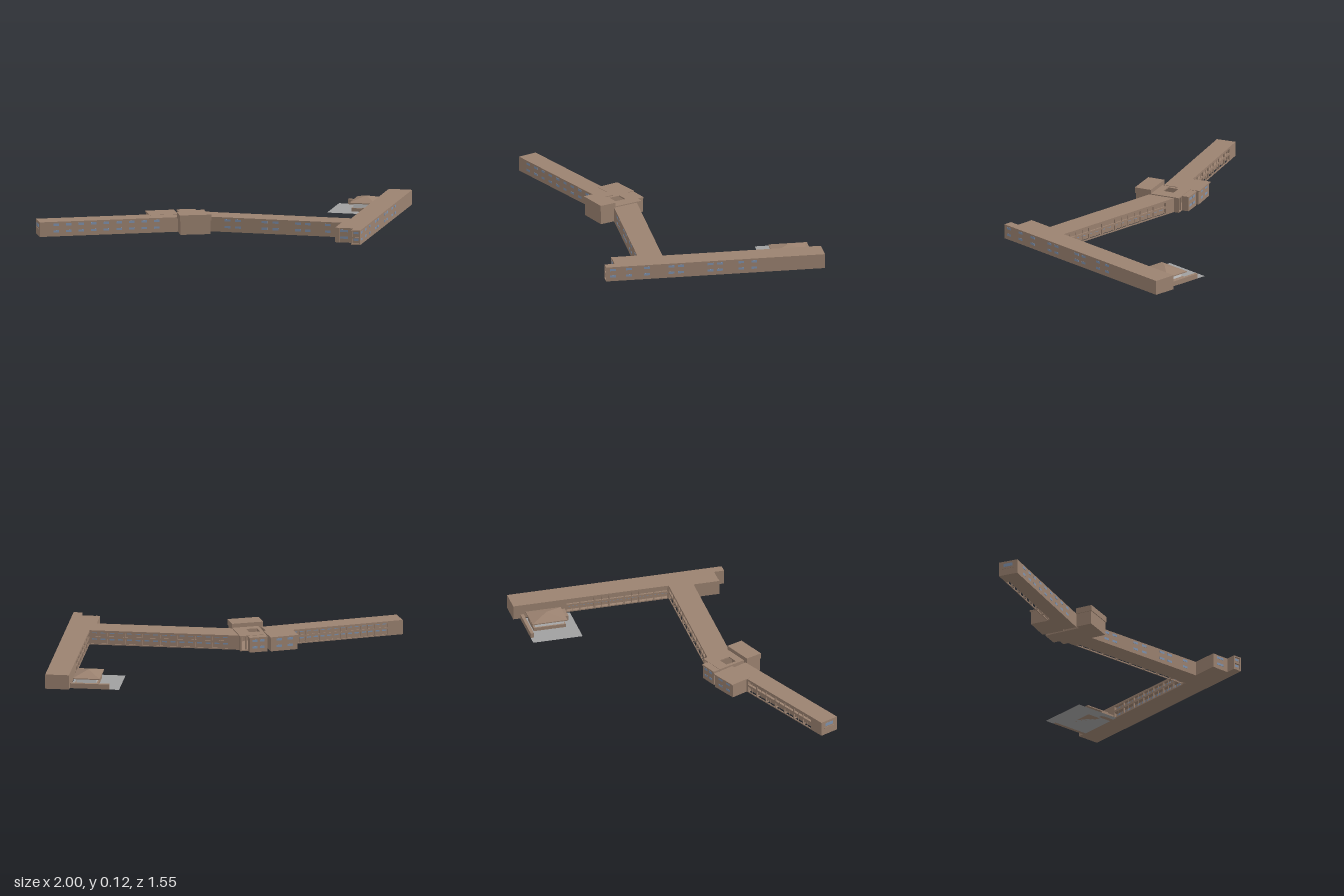
import * as THREE from 'three';

const brown = new THREE.MeshStandardMaterial({ color: 0x9b8270 });
const blue = new THREE.MeshStandardMaterial({ color: 0x7f92ad });
const pale = new THREE.MeshStandardMaterial({ color: 0xcccccc });
const paving = new THREE.MeshStandardMaterial({ color: 0xa0a0a0, side: THREE.DoubleSide });

const BASE = 0.005, EAVE = 0.088, TOP = 0.095;

// Box given by its extents on each axis
function block(parent, name, x0, x1, y0, y1, z0, z1, material = brown) {
  const mesh = new THREE.Mesh(new THREE.BoxGeometry(x1 - x0, y1 - y0, z1 - z0), material);
  mesh.position.set((x0 + x1) / 2, (y0 + y1) / 2, (z0 + z1) / 2);
  mesh.name = name;
  parent.add(mesh);
  return mesh;
}

function frame(parent, name, x, z, degrees) {
  const g = new THREE.Group();
  g.name = name;
  g.position.set(x, 0, z);
  g.rotation.y = THREE.MathUtils.degToRad(degrees);
  parent.add(g);
  return g;
}

// Two rows of windows in the wall at z
function windows(parent, xs, z, width = 0.036) {
  for (const x of xs)
    for (const y of [0.036, 0.077])
      block(parent, 'window', x - width / 2, x + width / 2, y - 0.007, y + 0.007, z - 0.001, z + 0.001, blue);
}

// Two-storey wing with an open gallery between g0 and g1 on its -z side
function wing(parent, { length, width, g0, g1, bays, depth = 0.025, floor = false }) {
  block(parent, 'core', 0, length, BASE, EAVE, depth, width);
  block(parent, 'roof', 0, length, EAVE, TOP, 0, width);
  if (g0 > 0) block(parent, 'endBay', 0, g0, BASE, EAVE, 0, depth);
  if (g1 < length) block(parent, 'endBay', g1, length, BASE, EAVE, 0, depth);
  if (floor) block(parent, 'galleryFloor', g0, g1, BASE, 0.01, 0, depth);

  // Rails and upper parapet along the open face
  block(parent, 'bottomRail', g0, g1, BASE, 0.012, 0, 0.005);
  block(parent, 'upperFloor', g0, g1, 0.045, 0.05, 0, depth);
  block(parent, 'parapet', g0, g1, 0.045, 0.058, 0, 0.004);
  block(parent, 'fascia', g0, g1, 0.082, EAVE, 0, 0.004);

  const step = (g1 - g0) / bays;
  for (let i = 0; i <= bays; i++) {
    const x = THREE.MathUtils.clamp(g0 + i * step, g0 + 0.004, g1 - 0.004);
    block(parent, 'column', x - 0.004, x + 0.004, BASE, EAVE, 0, 0.008);
    block(parent, 'crossBeam', x - 0.003, x + 0.003, BASE, 0.012, 0.005, depth);
    if (i === bays) break;
    const mid = g0 + (i + 0.5) * step;
    block(parent, 'mullion', mid - 0.0015, mid + 0.0015, BASE, EAVE, 0.001, 0.004);
    windows(parent, [mid - step / 4, mid + step / 4], depth, Math.min(0.03, step * 0.35));
  }
}

export function createModel() {
  const model = new THREE.Group();
  model.name = 'buildingComplex';

  // Long east wing, running from front to back
  const east = frame(model, 'eastWing', 0.855, 0.51, 90);
  wing(east, { length: 1.285, width: 0.145, g0: 0.31, g1: 0.96, bays: 7, floor: true });
  windows(east, [0.53, 0.43, 0.32, 0.17, 0.11, -0.07, -0.13, -0.26, -0.34].map(z => 0.51 - z), 0.145);
  block(model, 'eastWingSideBay', 0.83, 0.856, BASE, TOP, 0.35, 0.513);
  windows(model, [0.885], 0.513, 0.05);

  // Recessed porch at the front end of the east wing
  const porch = frame(model, 'porch', 0, 0, 0);
  block(porch, 'porchCore', 0.951, 0.996, BASE, EAVE, 0.505, 0.56);
  for (const y of [BASE, 0.046, EAVE]) block(porch, 'porchSlab', 0.945, 1, y, y + 0.007, 0.505, 0.572);
  for (const x of [0.945, 0.994]) block(porch, 'porchPier', x, x + 0.006, BASE, EAVE, 0.505, 0.572);
  windows(porch, [0.973], 0.56, 0.03);

  // Middle wing
  const middle = frame(model, 'middleWing', -0.06, 0.2, 0);
  wing(middle, { length: 0.92, width: 0.15, g0: 0.06, g1: 0.915, bays: 8 });
  windows(middle, [0.12, 0.185, 0.35, 0.42, 0.56, 0.62, 0.745].map(x => x + 0.06), 0.15);

  // Angled west wing with its stair block
  const west = frame(model, 'westWing', -1, 0.66, 25);
  wing(west, { length: 0.86, width: 0.122, g0: 0.09, g1: 0.7, bays: 7 });
  windows(west, Array.from({ length: 9 }, (_, i) => 0.1 + i * 0.078), 0.122, 0.034);
  block(west, 'endPorchSlab', -0.003, 0.02, 0.046, 0.052, 0.02, 0.1);
  block(west, 'endWindow', -0.001, 0.001, 0.06, 0.08, 0.03, 0.09, blue);
  block(west, 'stairBlock', 0.704, 0.873, BASE, EAVE, -0.11, 0.03);
  block(west, 'stairBlockRoof', 0.7, 0.877, EAVE, 0.096, -0.117, 0.03);
  windows(west, [0.75, 0.82], -0.11);

  // Entrance hub: tall hall in front, court with an open roof behind
  const hub = frame(model, 'hub', -0.22, 0.23, 22);
  block(hub, 'hall', -0.025, 0.16, BASE, 0.09, 0.19, 0.287);
  block(hub, 'hallUpperStorey', -0.03, 0.165, 0.09, 0.126, 0.185, 0.292);
  block(hub, 'courtFloor', 0, 0.16, BASE, 0.012, 0, 0.19);
  block(hub, 'courtWestWall', 0, 0.008, BASE, 0.094, 0, 0.19);
  block(hub, 'courtEastWall', 0.152, 0.16, BASE, 0.094, 0, 0.19);
  block(hub, 'courtLanternBase', 0.035, 0.08, 0.012, 0.06, 0.085, 0.13);
  for (const x of [0.03, 0.075, 0.12]) block(hub, 'courtColumn', x, x + 0.008, BASE, 0.094, 0.002, 0.01);

  const roof = new THREE.Shape([[0, 0], [0.163, 0], [0.163, 0.19], [0, 0.19]].map(p => new THREE.Vector2(...p)));
  roof.holes.push(new THREE.Path([[0.02, 0.068], [0.02, 0.139], [0.088, 0.139], [0.088, 0.068]].map(p => new THREE.Vector2(...p))));
  const courtRoof = new THREE.Mesh(new THREE.ExtrudeGeometry(roof, { depth: 0.007, bevelEnabled: false }), brown);
  courtRoof.name = 'courtRoof';
  courtRoof.rotation.x = Math.PI / 2;
  courtRoof.position.y = 0.101;
  hub.add(courtRoof);

  block(hub, 'backAnnex', 0.003, 0.112, BASE, 0.092, -0.041, 0.003);
  block(hub, 'backAnnexRoof', 0, 0.115, 0.092, 0.099, -0.045, 0.003);
  windows(hub, [0.035, 0.08], -0.041, 0.03);

  // Paved terrace with a hip-roofed pavilion
  const terrace = frame(model, 'terrace', 0, 0, 0);
  const sheet = new THREE.Mesh(new THREE.PlaneGeometry(0.3, 0.31), paving);
  sheet.name = 'paving';
  sheet.rotation.x = -Math.PI / 2;
  sheet.position.set(0.705, 0.001, -0.575);
  terrace.add(sheet);
  block(terrace, 'backGardenWall', 0.615, 0.856, 0.001, 0.032, -0.73, -0.71);
  block(terrace, 'frontGardenWall', 0.765, 0.856, 0.001, 0.032, -0.48, -0.452);
  block(terrace, 'pavilionBase', 0.69, 0.83, 0.001, 0.022, -0.69, -0.49);
  block(terrace, 'pavilionWalls', 0.7, 0.82, 0.022, 0.052, -0.68, -0.5, pale);
  block(terrace, 'pavilionEaves', 0.678, 0.84, 0.05, 0.056, -0.702, -0.482);
  const hip = new THREE.ConeGeometry(Math.SQRT1_2, 1, 4).rotateY(Math.PI / 4).toNonIndexed();
  hip.computeVertexNormals();
  const hipRoof = new THREE.Mesh(hip, brown);
  hipRoof.name = 'pavilionRoof';
  hipRoof.scale.set(0.162, 0.028, 0.22);
  hipRoof.position.set(0.759, 0.07, -0.592);
  terrace.add(hipRoof);

  return model;
}
